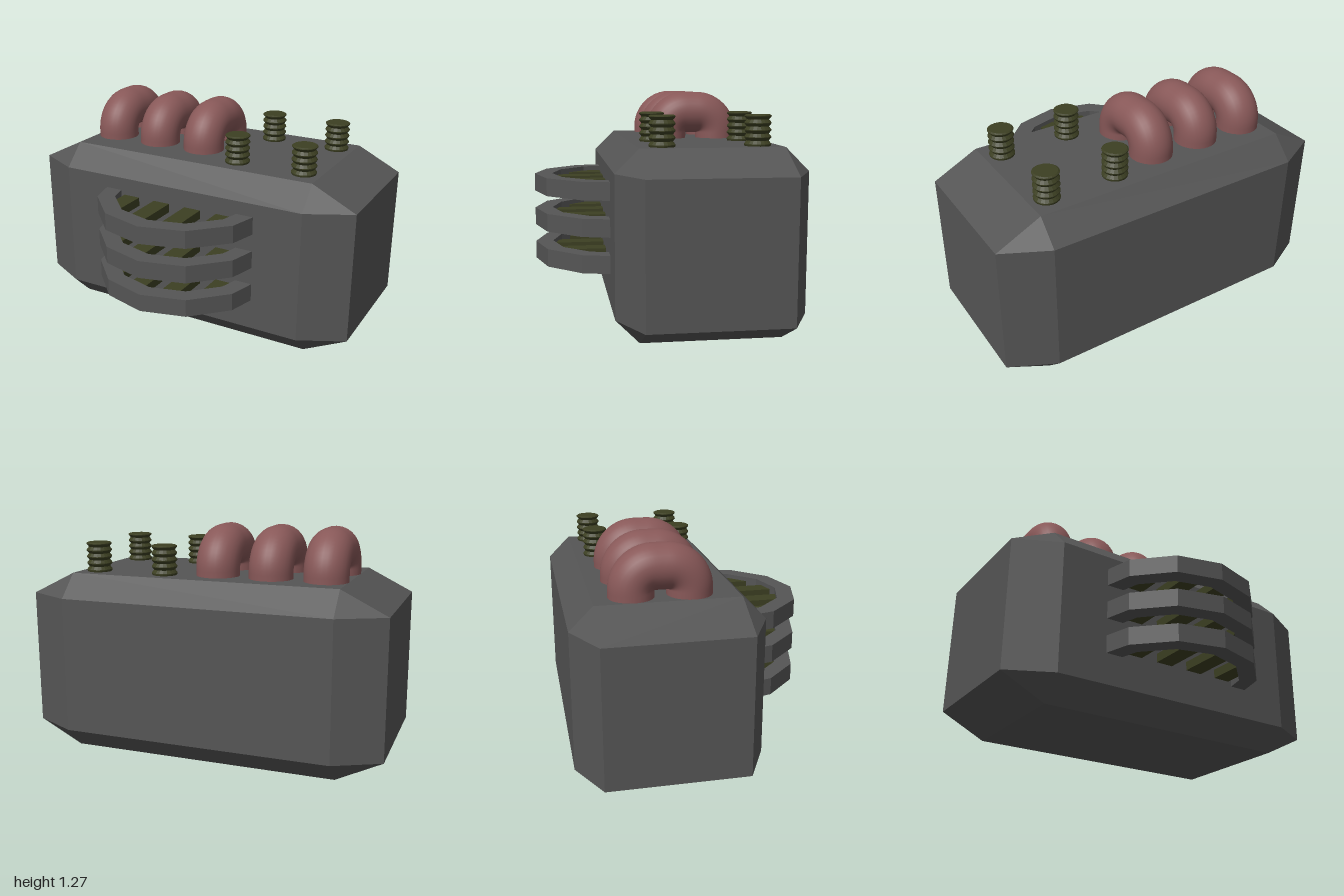
import * as THREE from 'three';
import { ConvexGeometry } from 'three/addons/geometries/ConvexGeometry.js';

const mat = (color, flatShading = false) => new THREE.MeshStandardMaterial({ color, flatShading });

function add(parent, name, geometry, material, x = 0, y = 0, z = 0) {
  const mesh = new THREE.Mesh(geometry, material);
  mesh.name = name;
  mesh.position.set(x, y, z);
  parent.add(mesh);
  return mesh;
}

// Box with every edge and corner chamfered: hull of the three face rectangles
function chamferedBox(h, i) {
  const pts = [];
  for (const sx of [-1, 1]) for (const sy of [-1, 1]) for (const sz of [-1, 1]) {
    pts.push(new THREE.Vector3(sx * h.x, sy * i.y, sz * i.z));
    pts.push(new THREE.Vector3(sx * i.x, sy * h.y, sz * i.z));
    pts.push(new THREE.Vector3(sx * i.x, sy * i.y, sz * h.z));
  }
  return new ConvexGeometry(pts);
}

// Faceted half ring bulging towards +z, its top at y = 0
function halfRing(outer, inner, height, segments) {
  const arc = (r) => Array.from({ length: segments + 1 }, (_, k) => {
    const a = (Math.PI * k) / segments;
    return new THREE.Vector2(r * Math.cos(a), r * Math.sin(a));
  });
  const shape = new THREE.Shape([...arc(outer), ...arc(inner).reverse()]);
  return new THREE.ExtrudeGeometry(shape, { depth: height, bevelEnabled: false }).rotateX(Math.PI / 2);
}

// Thick pipe: leg up, tight bend, short straight, bend, leg down (in the yz plane)
function archPipe(radius) {
  const leg = 0.15, flat = 0.035, bend = leg - flat, k = 0.5523 * bend;
  const v = (z, y) => new THREE.Vector3(0, y, z);
  const low = -0.08, mid = 0.15 - bend, top = 0.15;
  const path = new THREE.CurvePath();
  path.add(new THREE.LineCurve3(v(leg, low), v(leg, mid)));
  path.add(new THREE.CubicBezierCurve3(v(leg, mid), v(leg, mid + k), v(flat + k, top), v(flat, top)));
  path.add(new THREE.LineCurve3(v(flat, top), v(-flat, top)));
  path.add(new THREE.CubicBezierCurve3(v(-flat, top), v(-flat - k, top), v(-leg, mid + k), v(-leg, mid)));
  path.add(new THREE.LineCurve3(v(-leg, mid), v(-leg, low)));
  return new THREE.TubeGeometry(path, 48, radius, 28);
}

// Threaded stud with sharp ridges
function stud() {
  const pts = [new THREE.Vector2(0.058, -0.03)];
  const ridges = 5, pitch = 0.037;
  for (let i = 0; i < ridges; i++) {
    const y = 0.01 + i * pitch * 0.98;
    pts.push(new THREE.Vector2(0.07, y - 0.002), new THREE.Vector2(0.07, y + 0.002));
    if (i < ridges - 1) pts.push(new THREE.Vector2(0.057, y + pitch / 2));
  }
  pts.push(new THREE.Vector2(0.062, 0.162), new THREE.Vector2(0, 0.162));
  return new THREE.LatheGeometry(pts, 20);
}

export function createModel() {
  const model = new THREE.Group();
  model.name = 'engineBlock';
  const steel = mat(0x555555, true);
  const olive = mat(0x3c3f22, true);
  const red = mat(0x885858);

  // Main housing
  add(model, 'housing', chamferedBox(new THREE.Vector3(1, 0.5, 0.5),
    new THREE.Vector3(0.75, 0.375, 0.375)), steel, 0, 0.5, -0.2);

  // Front guard: three half rings, each with four inner fins
  const ring = halfRing(0.5, 0.4, 0.1, 6);
  for (const y of [0.35, 0.55, 0.75]) {
    const tier = new THREE.Group();
    tier.name = 'guardTier';
    tier.position.y = y;
    model.add(tier);
    add(tier, 'guardRing', ring, steel, 0, 0.05, 0.2);
    for (const x of [-0.3, -0.1, 0.1, 0.3]) {
      const end = Math.abs(x) > 0.2 ? 0.5 : 0.61;
      add(tier, 'guardFin', new THREE.BoxGeometry(0.1, 0.05, end - 0.2), olive, x, 0, (end + 0.2) / 2);
    }
  }

  // Arched pipes on top
  const pipe = archPipe(0.119);
  for (const x of [-0.632, -0.332, -0.032]) add(model, 'archPipe', pipe, red, x, 1, -0.223);

  // Threaded studs on top
  const studGeometry = stud();
  for (const x of [0.25, 0.65]) for (const z of [-0.453, 0.047]) {
    add(model, 'threadedStud', studGeometry, olive, x, 1, z);
  }
  return model;
}
